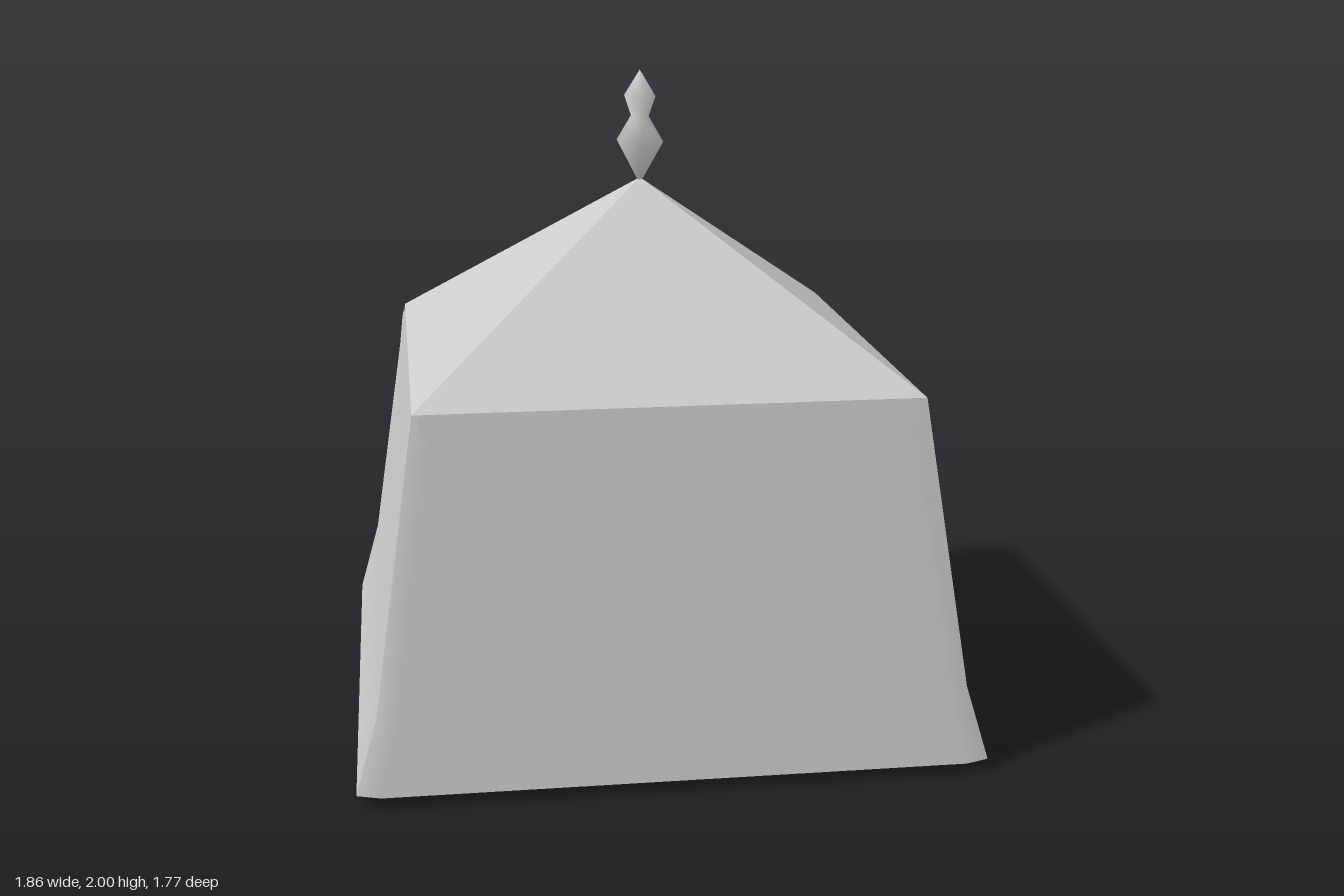
import * as THREE from 'three';

const CZ = -0.015; // the roof sits slightly behind the centre

export function createModel() {
  const model = new THREE.Group();
  const cloth = new THREE.MeshStandardMaterial({ color: 0xcccccc, side: THREE.DoubleSide });
  const faceted = new THREE.MeshStandardMaterial({ color: 0xcccccc, side: THREE.DoubleSide, flatShading: true });

  const add = (name, geometry, material = cloth, parent = model) => {
    const mesh = new THREE.Mesh(geometry, material);
    mesh.name = name;
    parent.add(mesh);
    return mesh;
  };

  // Cloth sheet from rows of points: top to bottom, left to right seen from outside
  const sheet = (rows) => {
    const n = rows[0].length;
    const index = [];
    for (let r = 0; r < rows.length - 1; r++) {
      for (let c = 0; c < n - 1; c++) {
        const a = r * n + c, b = a + n;
        index.push(a, b, b + 1, a, b + 1, a + 1);
      }
    }
    const g = new THREE.BufferGeometry();
    g.setAttribute('position', new THREE.Float32BufferAttribute(rows.flat(2), 3));
    g.setIndex(index);
    g.computeVertexNormals();
    return g;
  };
  const mirrorX = (rows) => rows.map((row) => row.map(([x, y, z]) => [-x, y, z]).reverse());

  // Corner lines of the walls: eave, bend, ground
  const frontCorner = [[0.74, 1.12, 0.73], [0.865, 0.26, 0.83], [0.93, 0.035, 0.858]];
  const backCorner = [[0.74, 1.12, -0.76], [0.865, 0.26, -0.878], [0.93, 0.035, -0.86]];

  // Front wall, slightly fuller between its corners
  const frontInner = [[0.68, 1.12, 0.73], [0.8, 0.26, 0.852], [0.86, 0.035, 0.882]];
  const neg = ([x, y, z]) => [-x, y, z];
  add('frontWall', sheet(frontCorner.map((p, i) => [neg(p), neg(frontInner[i]), frontInner[i], p])));

  // Side walls
  const side = frontCorner.map((p, i) => [p, backCorner[i]]);
  add('leftWall', sheet(side));
  add('rightWall', sheet(mirrorX(side)));

  // Back wall: two panels beside the doorway and a strip above it
  const doorEdge = [[0.26, 1.12, -0.76], [0.26, 0.26, -0.855], [0.26, 0.035, -0.87]];
  const panel = backCorner.map((p, i) => [p, doorEdge[i]]);
  add('backPanelLeft', sheet(panel));
  add('backPanelRight', sheet(mirrorX(panel)));
  add('doorHeader', sheet([
    [[0.26, 1.12, -0.76], [-0.26, 1.12, -0.76]],
    [[0.26, 1.0, -0.774], [-0.26, 1.0, -0.774]],
  ]));

  // Hem folded inwards along the ground on three sides
  const hemOuter = [[-0.93, 0.035, -0.86], [-0.93, 0.035, 0.858], [0.93, 0.035, 0.858], [0.93, 0.035, -0.86]];
  const hemInner = [[-0.81, 0.033, -0.82], [-0.81, 0.033, 0.8], [0.81, 0.033, 0.8], [0.81, 0.033, -0.82]];
  add('groundHem', sheet([hemInner, hemOuter]), faceted);

  // Pyramid roof
  const eaves = [frontCorner[0], backCorner[0], neg(backCorner[0]), neg(frontCorner[0])];
  const apex = [0, 1.665, CZ];
  const roof = new THREE.BufferGeometry();
  const roofPoints = eaves.flatMap((p, i) => [p, eaves[(i + 1) % 4], apex]);
  roof.setAttribute('position', new THREE.Float32BufferAttribute(roofPoints.flat(), 3));
  roof.computeVertexNormals();
  add('roof', roof);

  // Zigzag valance under each eave
  const teeth = 10, half = 0.72, pitch = (2 * half) / teeth;
  const zigzag = new THREE.Shape();
  zigzag.moveTo(half, 0);
  zigzag.lineTo(-half, 0);
  for (let i = 0; i < teeth; i++) {
    const x = -half + i * pitch;
    zigzag.lineTo(x, -0.04);
    zigzag.lineTo(x + pitch / 2, -0.105);
  }
  zigzag.lineTo(half, -0.04);
  const valanceGeometry = new THREE.ShapeGeometry(zigzag);
  ['front', 'left', 'back', 'right'].forEach((name, i) => {
    const pivot = new THREE.Group();
    pivot.name = name + 'Valance';
    pivot.position.z = CZ;
    pivot.rotation.y = (i * Math.PI) / 2;
    model.add(pivot);
    const strip = add(name + 'ValanceStrip', valanceGeometry, cloth, pivot);
    strip.position.set(0, 1.112, (i % 2 ? 0.74 : 0.745) + 0.006);
    strip.rotation.x = -0.14;
  });

  // Rolled-up door cloth: a square spiral, open at its ends
  const spiral = [
    [1.0, -0.772], [0.955, -0.782], [1.015, -0.822], [0.945, -0.887], [0.9, -0.84],
    [0.945, -0.8], [0.985, -0.825], [0.945, -0.862], [0.925, -0.84],
  ];
  add('rolledDoor', sheet(spiral.map(([y, z]) => [[0.26, y, z], [-0.26, y, z]])), faceted);

  // Square centre pole, flared at the foot
  const pole = new THREE.Group();
  pole.name = 'centrePole';
  pole.rotation.y = THREE.MathUtils.degToRad(-32);
  model.add(pole);
  add('poleFoot', new THREE.CylinderGeometry(0.05, 0.132, 0.65, 4, 1, true), faceted, pole).position.y = 0.325;
  add('poleShaft', new THREE.CylinderGeometry(0.03, 0.05, 0.97, 4, 1, true), faceted, pole).position.y = 1.135;

  // Six-sided finial
  const profile = [[0.006, 1.655], [0.079, 1.78], [0.03, 1.858], [0.053, 1.92], [0, 2]];
  const finial = new THREE.LatheGeometry(profile.map(([r, y]) => new THREE.Vector2(r, y)), 6);
  add('finial', finial).position.z = CZ;

  return model;
}
